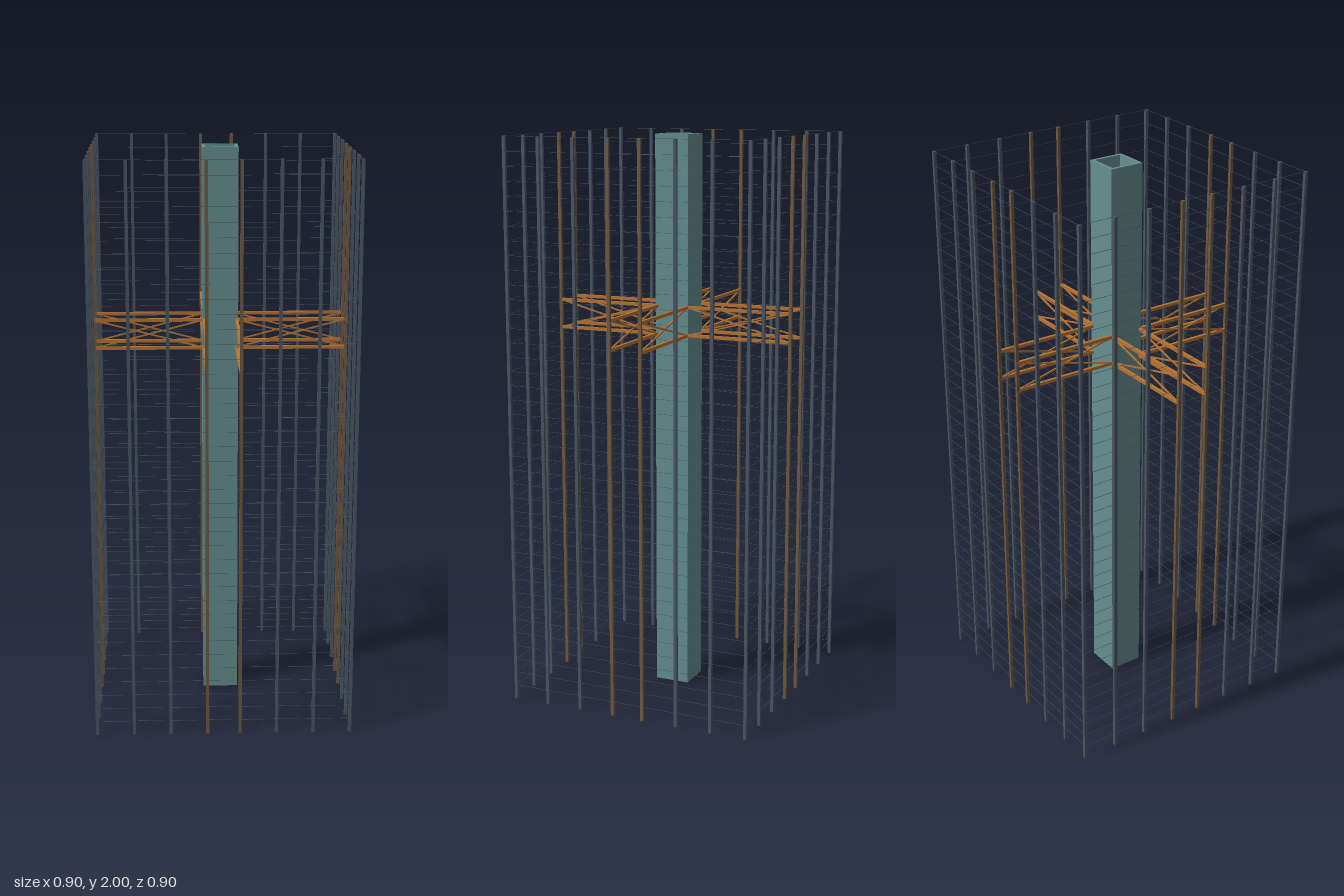
import * as THREE from 'three';
import { mergeGeometries } from 'three/addons/utils/BufferGeometryUtils.js';

const H = 2;          // tower height
const EDGE = 0.443;   // perimeter column line
const CORE = 0.057;   // centre line of the core walls
const T = 0.011;      // column, wall and chord thickness
const FLOORS = 40;

const mat = (name, color) => {
  const m = new THREE.MeshStandardMaterial({ color });
  m.name = name;
  return m;
};

function box(w, h, d, x, y, z) {
  return new THREE.BoxGeometry(w, h, d).translate(x, y, z);
}

export function createModel() {
  const concrete = mat('core teal', 0x668f8f);
  const steel = mat('column slate', 0x4a5563);
  const bronze = mat('outrigger column brown', 0x6e5a42);
  const copper = mat('outrigger copper', 0xb87333);
  const model = new THREE.Group();
  model.name = 'towerFrame';

  const add = (name, geometry, material, parent = model) => {
    const mesh = new THREE.Mesh(geometry, material);
    mesh.name = name;
    parent.add(mesh);
    return mesh;
  };

  // Hollow square core, open at both ends
  const o = CORE + T / 2, i = CORE - T / 2;
  const square = (r) => [[-r, -r], [r, -r], [r, r], [-r, r]].map(([x, y]) => new THREE.Vector2(x, y));
  const plan = new THREE.Shape(square(o));
  plan.holes.push(new THREE.Path(square(i).reverse()));
  const tube = new THREE.ExtrudeGeometry(plan, { depth: H, bevelEnabled: false });
  add('core', tube.rotateX(-Math.PI / 2), concrete);

  // Perimeter columns: each side owns the corner at its start
  const offsets = [-EDGE, -0.314, -0.185, -CORE, CORE, 0.185, 0.314];
  for (let side = 0; side < 4; side++) {
    const face = new THREE.Group();
    face.name = 'facade' + (side + 1);
    face.rotation.y = side * Math.PI / 2;
    model.add(face);

    for (const x of offsets) {
      const carriesTruss = Math.abs(x) === CORE;
      add(carriesTruss ? 'outriggerColumn' : 'column',
        box(T, H, T, x, H / 2, EDGE), carriesTruss ? bronze : steel, face);
    }

    // Hairline edge beams at every floor
    const beams = [];
    for (let f = 1; f <= FLOORS; f++) {
      beams.push(box(2 * EDGE, 0.001, 0.001, 0, f * H / FLOORS - 0.0005, EDGE));
    }
    add('edgeBeams', mergeGeometries(beams), steel, face);

    // Pair of outrigger trusses from the core to the facade
    const low = 1.3, high = 1.4, span = EDGE - CORE, mid = (EDGE + CORE) / 2;
    for (const x of [-CORE, CORE]) {
      const parts = [low, high].map((y) => box(T, T, span, x, y, mid));
      for (const s of [-1, 1]) {
        const diagonal = new THREE.BoxGeometry(0.005, 0.005, Math.hypot(span, high - low));
        diagonal.rotateX(s * Math.atan2(high - low, span));
        parts.push(diagonal.translate(x, (low + high) / 2, mid));
      }
      add('outriggerTruss', mergeGeometries(parts), copper, face);
    }
  }
  return model;
}
